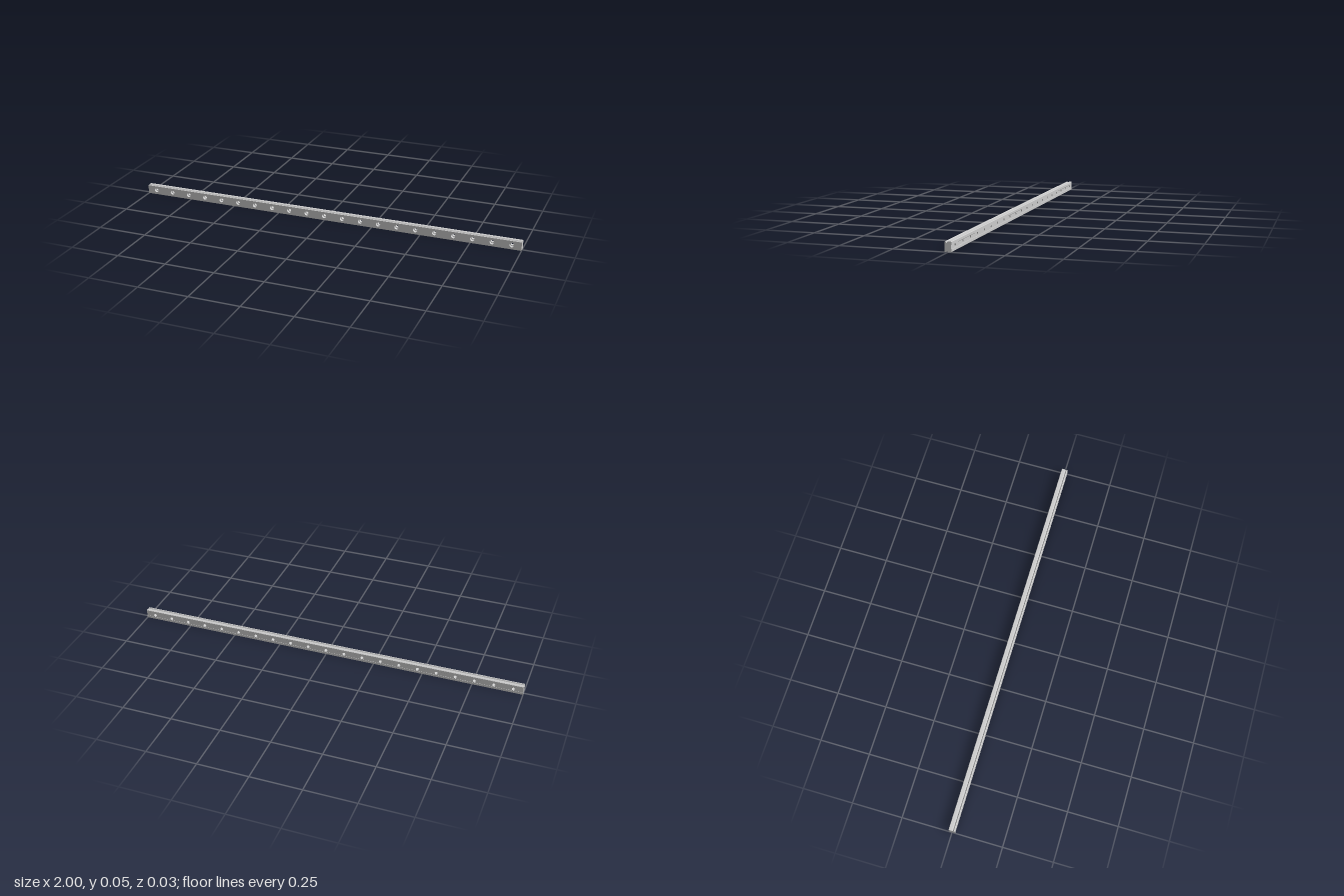
import * as THREE from 'three';

const HALF = 1;              // half length of the rail
const MID = 0.023;           // height of the hole axis
const FRONT = 0.0155;        // front face z
const RELIEF = -0.0147;      // floor of the shallow channel along the back
const HOLES = 21;
const BORE = 0.0115, THROUGH = 0.008;

// Upper half of the section as [z, height above axis], from front face to back channel
const upper = [
  [FRONT, 0.0212], [0.0137, 0.023], [0.0102, 0.023], [0.0088, 0.0212], [0.0062, 0.0165],
  [0.0045, 0.0165], [0.0014, 0.0212], [0, 0.023], [-0.0137, 0.023], [-0.0155, 0.0212],
  [-0.0155, 0.0098], [RELIEF, 0.009],
];
const section = [
  ...upper.map(([z, h]) => [z, MID + h]),
  ...upper.slice().reverse().map(([z, h]) => [z, MID - h]),
];

const holeX = Array.from({ length: HOLES }, (_, i) => (i - (HOLES - 1) / 2) * (2 * HALF / HOLES));

// Long flat face pierced by the row of holes
function piercedFace(halfHeight, radius) {
  const s = new THREE.Shape([
    new THREE.Vector2(-HALF, MID - halfHeight), new THREE.Vector2(HALF, MID - halfHeight),
    new THREE.Vector2(HALF, MID + halfHeight), new THREE.Vector2(-HALF, MID + halfHeight),
  ]);
  for (const x of holeX) {
    s.holes.push(new THREE.Path().absarc(x, MID, radius, 0, Math.PI * 2, true));
  }
  return new THREE.ShapeGeometry(s, 16);
}

// Flanks: the section swept along x, leaving out the two pierced faces
function flankGeometry() {
  const pos = [];
  const skip = upper.length - 1;
  for (let i = 0; i < section.length - 1; i++) {
    if (i === skip) continue;
    const [az, ay] = section[i], [bz, by] = section[i + 1];
    pos.push(-HALF, ay, az, HALF, ay, az, HALF, by, bz);
    pos.push(-HALF, ay, az, HALF, by, bz, -HALF, by, bz);
  }
  const g = new THREE.BufferGeometry();
  g.setAttribute('position', new THREE.Float32BufferAttribute(pos, 3));
  g.computeVertexNormals();
  return g;
}

// End cap at x = side
function endGeometry(side) {
  const s = new THREE.Shape(section.map(([z, y]) => new THREE.Vector2(-side * z, y)));
  return new THREE.ShapeGeometry(s).rotateY(side * Math.PI / 2).translate(side * HALF, 0, 0);
}

export function createModel() {
  const group = new THREE.Group();
  const steel = new THREE.MeshStandardMaterial({ color: 0xcccccc });
  const boreSteel = new THREE.MeshStandardMaterial({ color: 0xcccccc, side: THREE.DoubleSide });
  const add = (name, geometry, material = steel) => {
    const mesh = new THREE.Mesh(geometry, material);
    mesh.name = name;
    group.add(mesh);
    return mesh;
  };

  // Rail body
  add('railFlanks', flankGeometry());
  add('frontFace', piercedFace(upper[0][1], BORE).translate(0, 0, FRONT));
  add('backChannelFace', piercedFace(0.009, THROUGH).rotateY(Math.PI).translate(0, 0, RELIEF));
  add('leftEnd', endGeometry(1));
  add('rightEnd', endGeometry(-1));

  // Counterbored bolt holes: wide bore, shoulder ring, narrow through hole
  const shoulder = 0.001;
  const wide = new THREE.CylinderGeometry(BORE, BORE, FRONT - shoulder, 32, 1, true)
    .rotateX(Math.PI / 2).translate(0, 0, (FRONT + shoulder) / 2);
  const narrow = new THREE.CylinderGeometry(THROUGH, THROUGH, shoulder - RELIEF, 32, 1, true)
    .rotateX(Math.PI / 2).translate(0, 0, (shoulder + RELIEF) / 2);
  const ring = new THREE.RingGeometry(THROUGH, BORE, 32).translate(0, 0, shoulder);
  for (const x of holeX) {
    add('counterbore', wide, boreSteel).position.set(x, MID, 0);
    add('boltHole', narrow, boreSteel).position.set(x, MID, 0);
    add('boreShoulder', ring, boreSteel).position.set(x, MID, 0);
  }
  return group;
}
